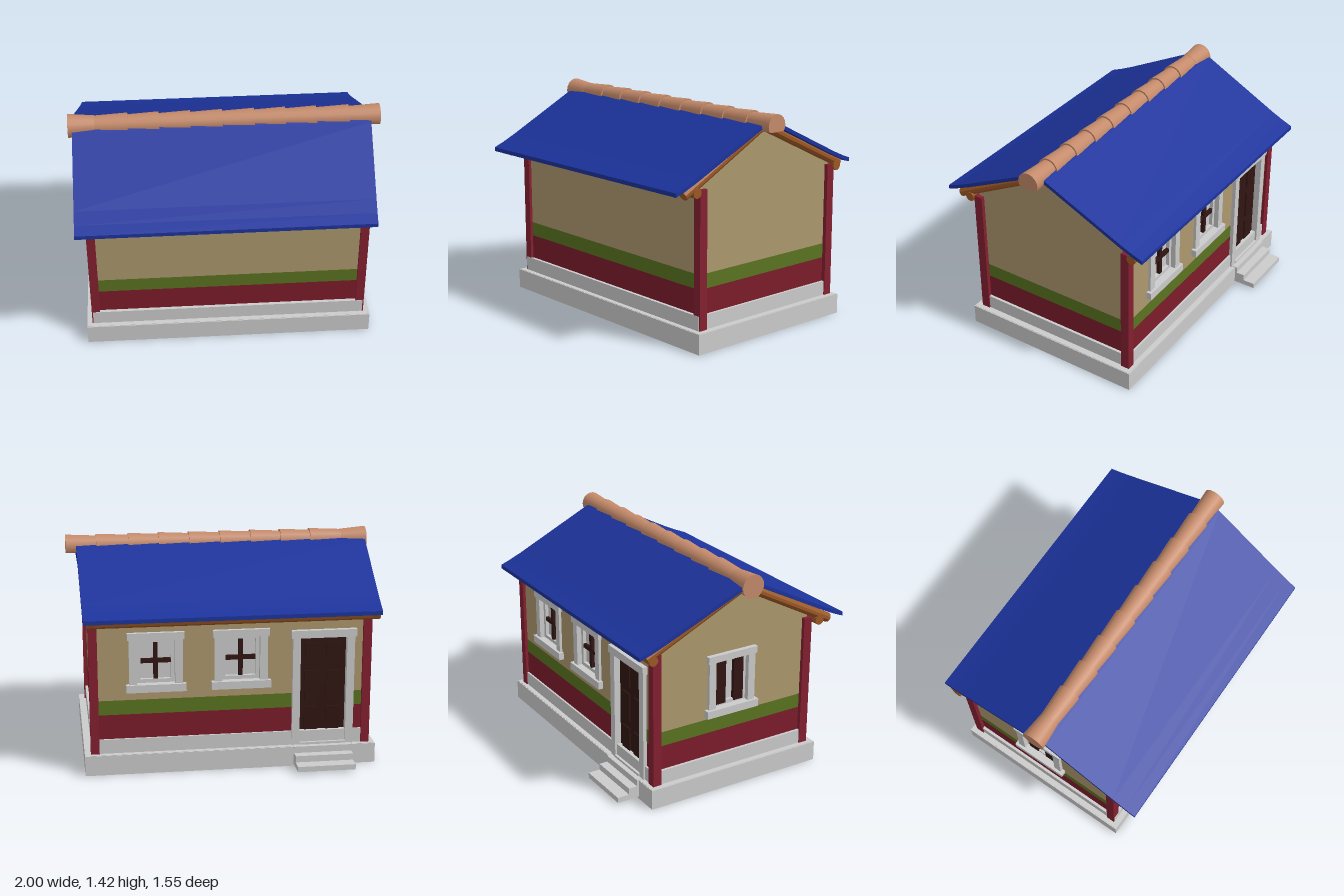
import * as THREE from 'three';

const mat = (color, flatShading = true) =>
  new THREE.MeshStandardMaterial({ color, flatShading, side: THREE.DoubleSide });
const GREY = mat(0xcccccc), TAN = mat(0xac986d), GREEN = mat(0x5a7320), RED = mat(0x7c1c2a),
  POST = mat(0x842030), BLUE = mat(0x1c339c), WOOD = mat(0x9c5824), CLAY = mat(0xc48a6a, false),
  DARK = mat(0x301512);

// Wall outer faces
const X0 = -0.885, X1 = 0.865, Z0 = -0.575, Z1 = 0.56, T = 0.02;

function add(parent, name, geometry, material) {
  const mesh = new THREE.Mesh(geometry, material);
  mesh.name = name;
  parent.add(mesh);
  return mesh;
}

// Box given by its limits on each axis
function box(parent, name, material, x0, x1, y0, y1, z0, z1) {
  const g = new THREE.BoxGeometry(x1 - x0, y1 - y0, z1 - z0);
  g.translate((x0 + x1) / 2, (y0 + y1) / 2, (z0 + z1) / 2);
  return add(parent, name, g, material);
}

const rect = (x0, x1, y0, y1) => [[x0, y0], [x1, y0], [x1, y1], [x0, y1]];
const vecs = pts => pts.map(p => new THREE.Vector2(...p));

// Flat panel with optional openings
function panel(outline, holes = [], depth = T) {
  const shape = new THREE.Shape(vecs(outline));
  holes.forEach(h => shape.holes.push(new THREE.Path(vecs(h))));
  return new THREE.ExtrudeGeometry(shape, { depth, bevelEnabled: false });
}

// Rectangular ring lying flat, used for the hollow base
function ring(parent, name, x0, x1, z0, z1, y0, y1, t) {
  const g = panel(rect(x0, x1, -z1, -z0), [rect(x0 + t, x1 - t, -z1 + t, -z0 - t)], y1 - y0);
  g.rotateX(-Math.PI / 2).translate(0, y0, 0);
  return add(parent, name, g, GREY);
}

// Round timber between two points
function pole(parent, name, a, b, r) {
  const A = new THREE.Vector3(...a), B = new THREE.Vector3(...b), d = B.clone().sub(A);
  const mesh = add(parent, name, new THREE.CylinderGeometry(r, r, d.length(), 10), WOOD);
  mesh.position.copy(A).add(B).multiplyScalar(0.5);
  mesh.quaternion.setFromUnitVectors(new THREE.Vector3(0, 1, 0), d.normalize());
}

// Window facing +z, with z = 0 on the wall face
function makeWindow(y0, y1, casement) {
  const g = new THREE.Group(), w = 0.17, b = 0.05;
  g.name = 'window';
  for (const s of [-1, 1]) {
    const x = s * (w - b / 2);
    box(g, 'windowJamb', GREY, x - b / 2, x + b / 2, y0, y1, -0.05, 0.018);
    const xi = s * (w - b - 0.012);
    box(g, 'sash', GREY, xi - 0.012, xi + 0.012, y0 + 0.04, y1 - 0.04, -0.045, -0.015);
    if (casement)
      box(g, 'casement', DARK, s * 0.065 - 0.035, s * 0.065 + 0.035, y0 + 0.06, y1 - 0.06, -0.035, -0.01);
  }
  box(g, 'windowLintel', GREY, -w - 0.01, w + 0.01, y1 - 0.045, y1, -0.05, 0.025);
  box(g, 'windowSill', GREY, -w - 0.02, w + 0.02, y0, y0 + 0.05, -0.05, 0.035);
  for (const y of [y0 + 0.062, y1 - 0.057])
    box(g, 'sashRail', GREY, -w + b, w - b, y - 0.012, y + 0.012, -0.045, -0.015);
  box(g, 'pane', GREY, -w + b, w - b, y0 + 0.05, y1 - 0.045, -0.045, -0.038);
  if (!casement) {
    const yc = (y0 + y1) / 2;
    box(g, 'mullion', DARK, -0.014, 0.014, y0 + 0.06, y1 - 0.055, -0.038, -0.016);
    box(g, 'crossbar', DARK, -w + b + 0.02, w - b - 0.02, yc - 0.014, yc + 0.014, -0.038, -0.018);
  }
  return g;
}

// Panelled door facing +z
function makeDoor() {
  const g = new THREE.Group(), w = 0.2, top = 0.9;
  g.name = 'door';
  for (const s of [-1, 1]) {
    box(g, 'doorJamb', GREY, s * 0.175 - 0.025, s * 0.175 + 0.025, 0.13, top, -0.05, 0.025);
    for (const [a, b] of [[0.19, 0.38], [0.42, 0.62], [0.66, 0.81]])
      box(g, 'doorPanel', DARK, s * 0.07 - 0.045, s * 0.07 + 0.045, a, b, -0.03, -0.008);
  }
  box(g, 'doorLintel', GREY, -w - 0.01, w + 0.01, top - 0.05, top, -0.05, 0.032);
  box(g, 'doorLeaf', DARK, -0.15, 0.15, 0.14, top - 0.05, -0.045, -0.018);
  box(g, 'threshold', GREY, -0.15, 0.15, 0.12, 0.15, -0.05, 0.03);
  return g;
}

// Roof slope: a (z, y) profile stretched across x, its ends skewed along z
function slope(parent, name, pts, zRidge, zEave, left, right) {
  const under = pts.map(([z, y]) => [z, y - 0.026]).reverse();
  const g = panel([...pts, ...under], [], 1).rotateY(-Math.PI / 2);
  const p = g.attributes.position;
  for (let i = 0; i < p.count; i++) {
    const f = (p.getZ(i) - zRidge) / (zEave - zRidge), L = THREE.MathUtils.lerp;
    p.setX(i, L(L(...left, f), L(...right, f), p.getX(i) + 1));
  }
  g.computeVertexNormals();
  add(parent, name, g, BLUE);
}

export function createModel() {
  const model = new THREE.Group();
  model.name = 'house';

  // Hollow stepped base
  ring(model, 'baseWall', -0.945, 0.93, -0.625, 0.62, 0, 0.13, 0.012);
  ring(model, 'baseLedge', -0.94, 0.925, -0.62, 0.615, 0.122, 0.132, 0.07);
  ring(model, 'plinth', -0.903, 0.883, -0.588, 0.582, 0.13, 0.225, 0.035);

  // Walls in three colour bands
  const bands = [['lowerBand', RED, 0.22, 0.385], ['middleBand', GREEN, 0.385, 0.48]];
  const doorX = [-0.775, -0.425], backWindows = [0.47, -0.07];
  for (const [name, m, a, b] of bands) {
    box(model, name, m, X0, X1, a, b, Z1 - T, Z1);
    box(model, name, m, X0, doorX[0], a, b, Z0, Z0 + T);
    box(model, name, m, doorX[1], X1, a, b, Z0, Z0 + T);
    box(model, name, m, X0, X0 + T, a, b, Z0, Z1);
    box(model, name, m, X1 - T, X1, a, b, Z0, Z1);
  }
  box(model, 'frontWall', TAN, X0, X1, 0.48, 1.05, Z1 - T, Z1);
  const backOutline = [[X0, 0.48], [doorX[0], 0.48], [doorX[0], 0.87], [doorX[1], 0.87],
    [doorX[1], 0.48], [X1, 0.48], [X1, 1.04], [X0, 1.04]];
  add(model, 'backWall', panel(backOutline, backWindows.map(x => rect(x - 0.14, x + 0.14, 0.56, 0.9))), TAN)
    .position.z = Z0;
  const gable = [[Z0, 0.48], [Z1, 0.48], [Z1, 1.05], [0.04, 1.32], [Z0, 1.04]];
  for (const [x, holes] of [[X0 + T, [rect(-0.16, 0.12, 0.53, 0.88)]], [X1, []]]) {
    const wall = add(model, 'gableWall', panel(gable, holes), TAN);
    wall.rotation.y = -Math.PI / 2;
    wall.position.x = x;
  }

  // Corner posts
  for (const x of [-0.91, 0.836])
    for (const z of [-0.595, 0.522])
      box(model, 'cornerPost', POST, x, x + 0.055, 0.13, 1.01, z, z + 0.058);

  // Windows and door
  for (const x of backWindows) {
    const w = makeWindow(0.535, 0.92, false);
    w.rotation.y = Math.PI;
    w.position.set(x, 0, Z0);
    model.add(w);
  }
  const sideWindow = makeWindow(0.5, 0.91, true);
  sideWindow.rotation.y = -Math.PI / 2;
  sideWindow.position.set(X0 - 0.005, 0, -0.02);
  model.add(sideWindow);
  const door = makeDoor();
  door.rotation.y = Math.PI;
  door.position.set(-0.6, 0, Z0);
  model.add(door);

  // Steps below the door
  [[0.015, 0.05, -0.775], [0.05, 0.092, -0.695], [0.092, 0.135, -0.638]].forEach(([a, b, z]) =>
    box(model, 'step', GREY, -0.785, -0.41, a, b, z, -0.6));

  // Roof timbers: eave poles and gable rafters
  for (const z of [-0.615, 0.61]) pole(model, 'eavePole', [-0.95, 0.997, z], [0.9, 0.997, z], 0.032);
  for (const x of [-0.92, 0.866]) {
    pole(model, 'frontRafter', [x, 0.988, 0.695], [x, 1.335, 0.04], 0.031);
    pole(model, 'backRafter', [x, 1.01, -0.655], [x, 1.335, 0.04], 0.031);
  }

  // Roof slopes with a slight kick at the eaves
  slope(model, 'frontRoof', [[0.78, 1.024], [0.71, 1.052], [0.62, 1.094], [0.13, 1.345], [0.05, 1.385]],
    0.05, 0.78, [-0.975, -0.967], [0.943, 0.9]);
  slope(model, 'backRoof', [[0.05, 1.385], [-0.02, 1.355], [-0.56, 1.1], [-0.64, 1.066], [-0.71, 1.04]],
    0.05, -0.71, [-0.992, -0.945], [0.932, 0.922]);

  // Overlapping ridge tiles, flattened underneath apart from the flared first one
  const stops = [-1, -0.83, -0.62, -0.42, -0.22, -0.015, 0.19, 0.39, 0.59, 0.8, 1];
  for (let i = 0; i < stops.length - 1; i++) {
    const len = stops[i + 1] - stops[i], first = i === 0;
    const g = new THREE.CylinderGeometry(first ? 0.062 : 0.072, first ? 0.077 : 0.061, len, 18);
    g.rotateZ(-Math.PI / 2);
    const p = g.attributes.position;
    if (!first) for (let k = 0; k < p.count; k++) p.setY(k, Math.max(p.getY(k), -0.038));
    add(model, 'ridgeTile', g, CLAY).position.set(stops[i] + len / 2, 1.349, 0.053);
  }
  return model;
}
